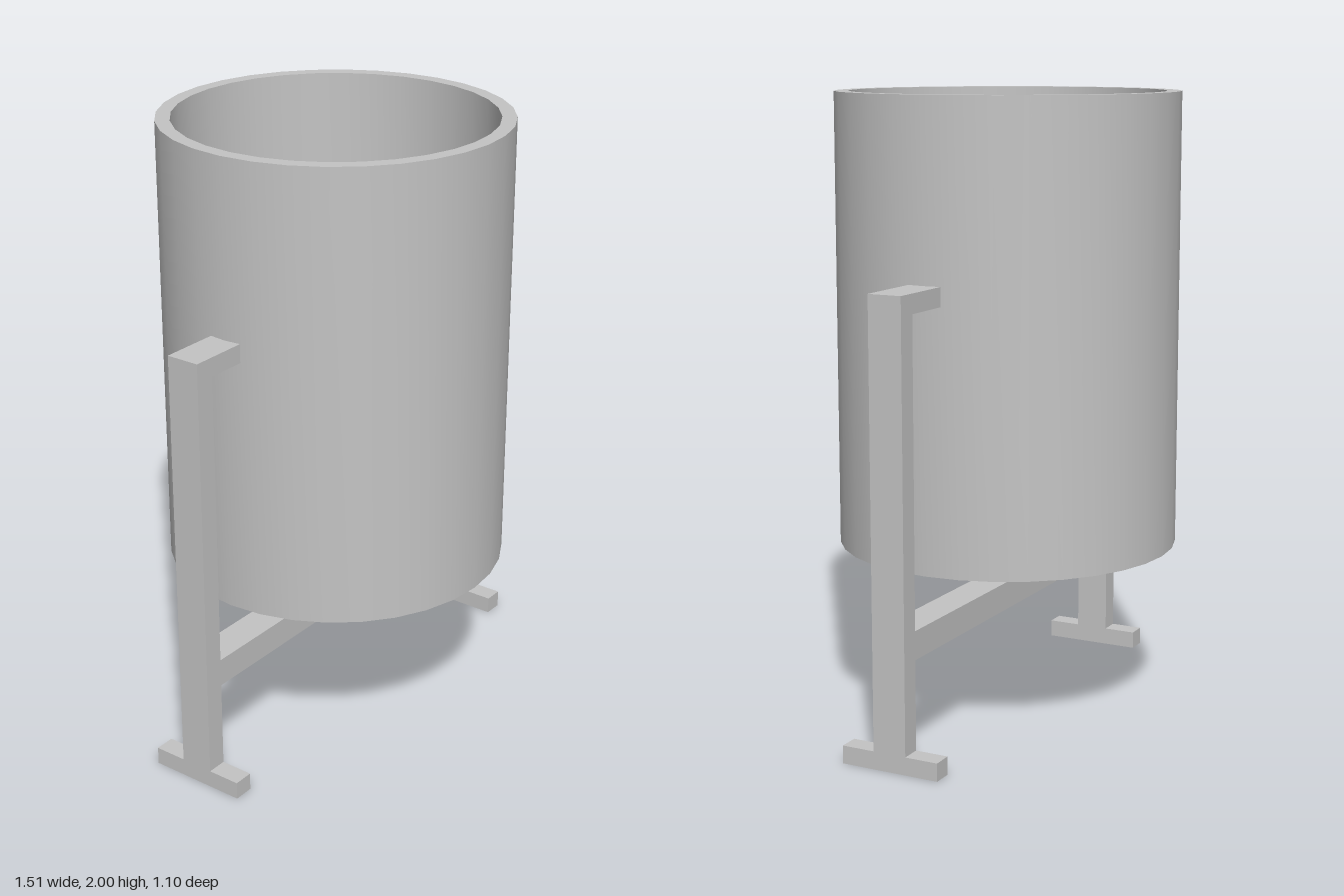
import * as THREE from 'three';
import { toCreasedNormals } from 'three/addons/utils/BufferGeometryUtils.js';

export function createModel() {
  const model = new THREE.Group();
  const grey = new THREE.MeshStandardMaterial({ color: 0xc4c4c4 });
  grey.name = 'grey metal';

  // box given by its limits in x and y, and its half depth in z
  function box(name, x0, x1, y0, y1, halfZ) {
    const mesh = new THREE.Mesh(new THREE.BoxGeometry(Math.abs(x1 - x0), y1 - y0, halfZ * 2), grey);
    mesh.position.set((x0 + x1) / 2, (y0 + y1) / 2, 0);
    mesh.name = name;
    model.add(mesh);
  }

  // open drum with a thick wall and a closed floor, slightly off centre
  const drumX = -0.02;
  const outer = 0.548, inner = 0.502, bottom = 0.55, top = 2, floor = 0.6;
  const profile = [
    [0, bottom], [outer, bottom], [outer, top], [inner, top], [inner, floor], [0, floor],
  ].map(([r, y]) => new THREE.Vector2(r, y));
  const drum = new THREE.Mesh(toCreasedNormals(new THREE.LatheGeometry(profile, 32), Math.PI / 6), grey);
  drum.position.x = drumX;
  drum.name = 'drum';
  model.add(drum);

  // stand: one foot, post and arm on each side
  const postIn = 0.69, postOut = 0.755, halfDepth = 0.055;
  for (const [side, s] of [['left', 1], ['right', -1]]) {
    box(side + 'Foot', s * postIn, s * postOut, 0, 0.057, 0.163);
    box(side + 'Post', s * postIn, s * postOut, 0.057, 1.38, halfDepth);
    box(side + 'Arm', drumX + s * 0.53, s * postOut, 1.38, 1.44, halfDepth);
  }

  // bar joining the posts under the drum
  box('crossbar', -postIn, postIn, 0.34, 0.43, halfDepth);

  return model;
}
